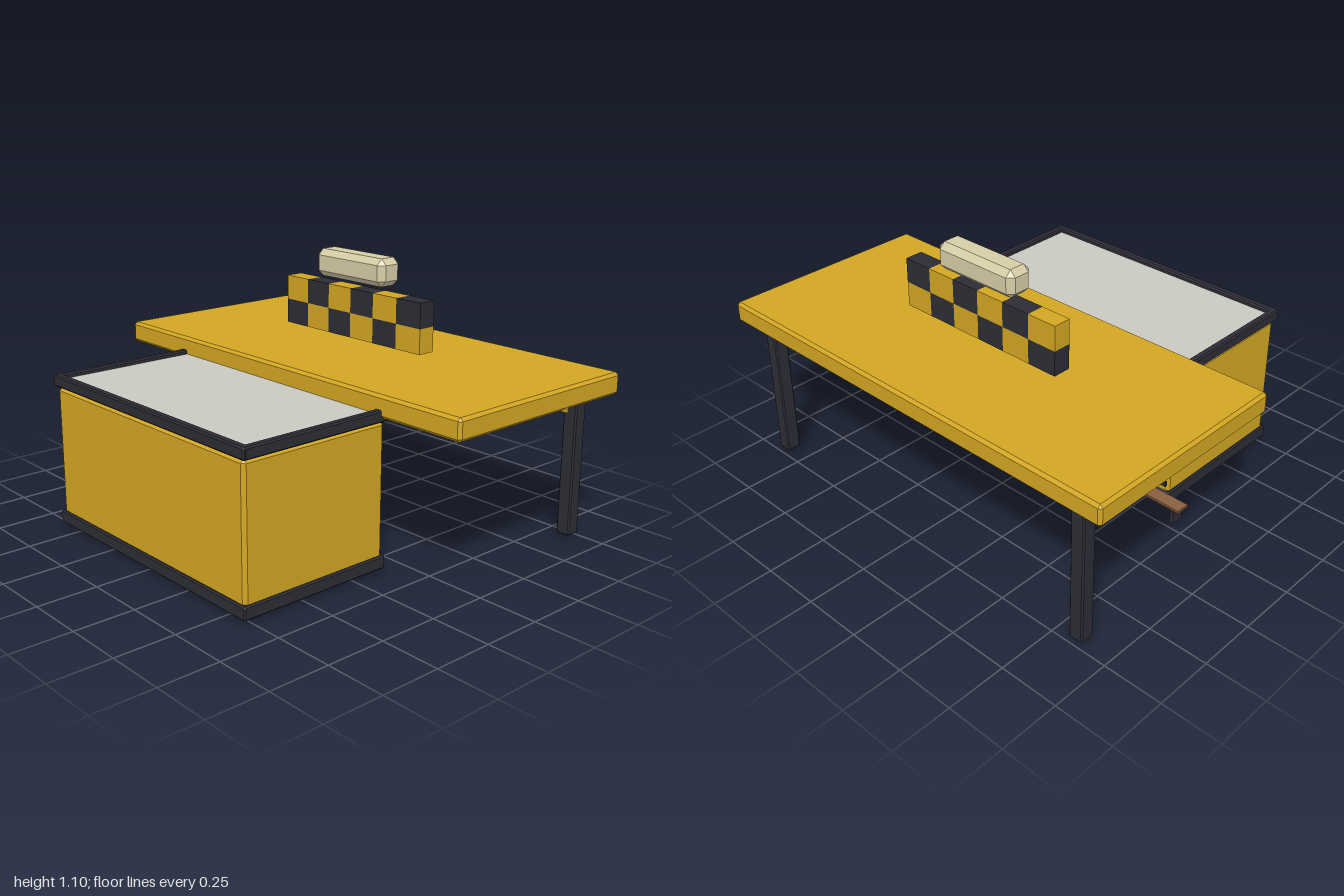
import * as THREE from 'three';
import { ConvexGeometry } from 'three/addons/geometries/ConvexGeometry.js';

const mat = (name, color) => {
  const m = new THREE.MeshStandardMaterial({ color });
  m.name = name;
  return m;
};

// Box given by its extents, with all edges chamfered by c (plain box if c = 0)
function boxGeometry([x0, x1], [y0, y1], [z0, z1], c) {
  const h = [(x1 - x0) / 2, (y1 - y0) / 2, (z1 - z0) / 2];
  let g;
  if (c > 0) {
    const pts = [];
    for (const sx of [-1, 1]) for (const sy of [-1, 1]) for (const sz of [-1, 1])
      for (let axis = 0; axis < 3; axis++) {
        const d = h.map((v, i) => (i === axis ? v : v - c));
        pts.push(new THREE.Vector3(sx * d[0], sy * d[1], sz * d[2]));
      }
    g = new ConvexGeometry(pts);
  } else {
    g = new THREE.BoxGeometry(h[0] * 2, h[1] * 2, h[2] * 2);
  }
  return g.translate((x0 + x1) / 2, (y0 + y1) / 2, (z0 + z1) / 2);
}

export function createModel() {
  const root = new THREE.Group();
  root.name = 'checkeredStand';

  const gold = mat('gold', 0xd2a622);
  const dark = mat('charcoal', 0x2c2c35);
  const cream = mat('cream', 0xd6cca6);
  const roofGrey = mat('roofGrey', 0xc9c9c1);
  const wood = mat('wood', 0x8a6040);
  const frameGrey = mat('frameGrey', 0xb4b2a6);

  const add = (name, material, x, y, z, c = 0, parent = root) => {
    const m = new THREE.Mesh(boxGeometry(x, y, z, c), material);
    m.name = name;
    parent.add(m);
    return m;
  };
  const group = (name) => {
    const g = new THREE.Group();
    g.name = name;
    root.add(g);
    return g;
  };

  // Kiosk: plinth, walls and flat roof
  add('plinth', dark, [-0.61, 0.61], [0.015, 0.07], [0.1, 0.785], 0.006);
  add('walls', gold, [-0.6, 0.6], [0.05, 0.603], [0.105, 0.775], 0.014);
  add('flatRoof', roofGrey, [-0.595, 0.595], [0.603, 0.635], [0.11, 0.77]);

  // Parapet around the roof
  const parapet = group('parapet');
  for (const z of [[0.09, 0.125], [0.75, 0.785]])
    add('parapetLong', dark, [-0.615, 0.615], [0.605, 0.653], z, 0.006, parapet);
  for (const s of [-1, 1])
    add('parapetSide', dark, [s * 0.6 - 0.0165, s * 0.6 + 0.0165], [0.605, 0.653], [0.095, 0.78], 0.006, parapet);

  // Door with step and knob on the canopy side
  const door = group('door');
  add('doorFrame', frameGrey, [0.245, 0.445], [0.002, 0.335], [0.097, 0.106], 0, door);
  add('doorPanel', wood, [0.26, 0.43], [0, 0.318], [0.092, 0.101], 0, door);
  const knob = new THREE.Mesh(new THREE.SphereGeometry(0.007, 8, 6), dark);
  knob.name = 'doorKnob';
  knob.position.set(0.405, 0.16, 0.087);
  door.add(knob);
  add('doorStep', dark, [0.23, 0.46], [0.015, 0.035], [0.02, 0.102], 0.004);

  // Shuttered window
  const outline = new THREE.Shape([[-0.51, 0.18], [0.1, 0.18], [0.1, 0.395], [-0.51, 0.395]]
    .map(([x, y]) => new THREE.Vector2(x, y)));
  outline.holes.push(new THREE.Path([[-0.49, 0.2], [-0.49, 0.375], [0.08, 0.375], [0.08, 0.2]]
    .map(([x, y]) => new THREE.Vector2(x, y))));
  const windowFrame = new THREE.Mesh(
    new THREE.ExtrudeGeometry(outline, { depth: 0.016, bevelEnabled: false }), dark);
  windowFrame.name = 'windowFrame';
  windowFrame.position.z = 0.09;
  root.add(windowFrame);
  add('windowShutter', wood, [-0.495, 0.085], [0.195, 0.38], [0.098, 0.106]);

  // Bench
  const bench = group('bench');
  add('benchSeat', wood, [-0.73, -0.33], [0.08, 0.093], [0.006, 0.072], 0.003, bench);
  for (const x of [-0.695, -0.365])
    add('benchLeg', dark, [x - 0.008, x + 0.008], [0.015, 0.081], [0.01, 0.068], 0, bench);

  // Canopy on two posts
  add('canopy', gold, [-0.995, 0.995], [0.62, 0.71], [-0.79, 0.14], 0.012);
  for (const s of [-1, 1])
    add('canopyPost', dark, [s * 0.853 - 0.031, s * 0.853 + 0.031], [0.015, 0.622], [-0.739, -0.677], 0.006);

  // Checkered strip below the canopy
  const strip = group('canopyStrip');
  for (let i = 0; i < 20; i++)
    add('stripSegment', i % 2 ? gold : dark, [-1 + i * 0.1, -0.9 + i * 0.1],
      [0.612, 0.632], [-0.462, -0.454], 0, strip);

  // Checkerboard sign
  const sign = group('checkerSign');
  const w = 0.8 / 6;
  for (let row = 0; row < 2; row++)
    for (let col = 0; col < 6; col++)
      add('checker', (row + col) % 2 ? gold : dark,
        [-0.4 + col * w, -0.4 + (col + 1) * w],
        [0.748 + row * 0.105, 0.853 + row * 0.105], [-0.362, -0.284], 0, sign);

  // Roof lamp above the sign
  add('signLamp', cream, [-0.2, 0.2], [0.988, 1.104], [-0.382, -0.264], 0.025);

  return root;
}
